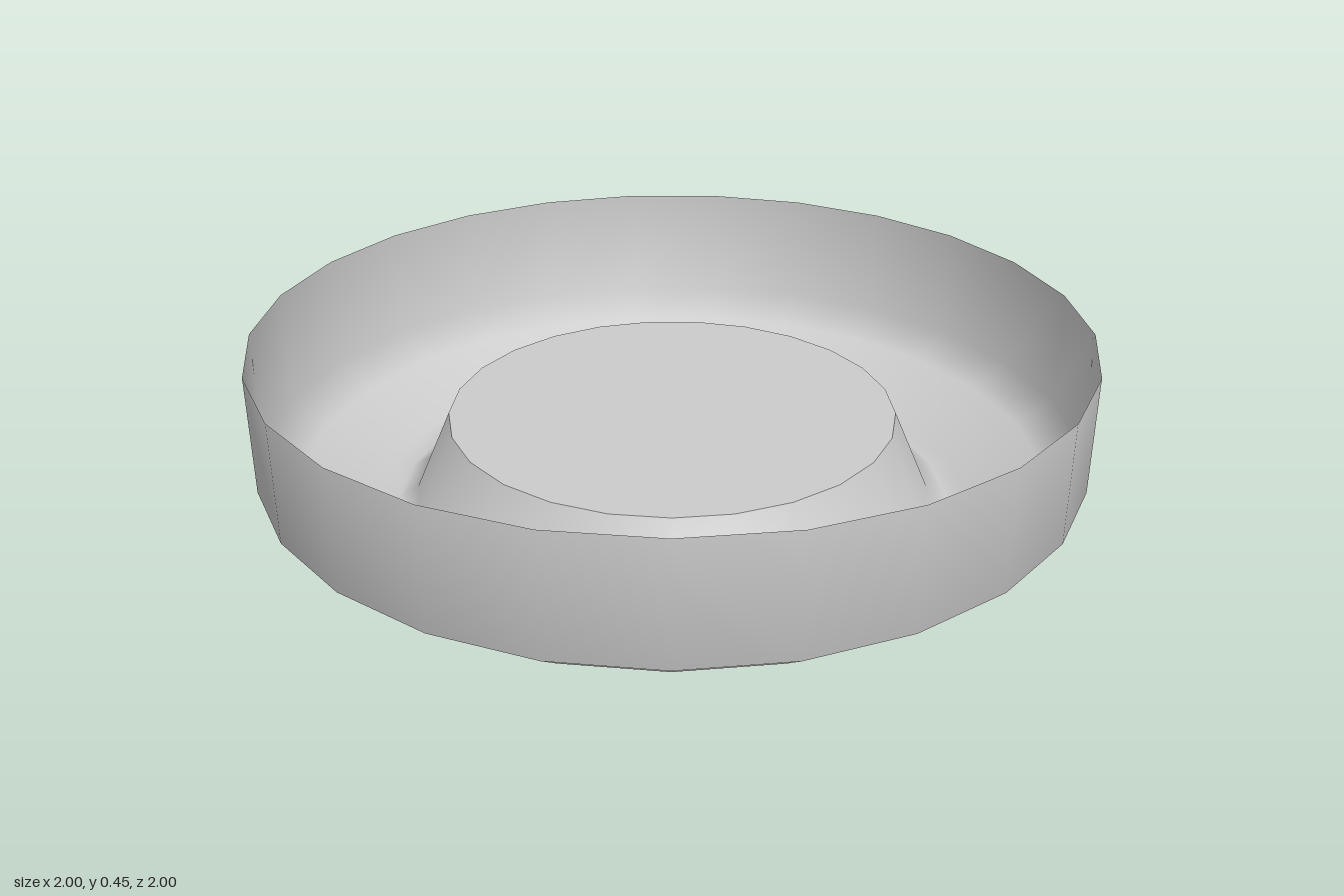
import * as THREE from 'three';

const SIDES = 25;

export function createModel() {
  const model = new THREE.Group();
  const material = new THREE.MeshStandardMaterial({ color: 0xcccccc, side: THREE.DoubleSide });

  // Thin dish wall: up-turned centre, rounded underside, upright rim
  const profile = [
    [0.547, 0.23], [0.635, 0.03], [0.685, 0], [0.73, 0.015],
    [0.915, 0.095], [1.002, 0.16], [1.002, 0.45],
  ].map(([r, y]) => new THREE.Vector2(r, y));
  const dish = new THREE.Mesh(new THREE.LatheGeometry(profile, SIDES, Math.PI / 2), material);
  dish.name = 'dish';

  // Flat raised platform closing the centre
  const disc = new THREE.CircleGeometry(profile[0].x, SIDES).rotateX(-Math.PI / 2);
  const platform = new THREE.Mesh(disc, material);
  platform.name = 'raisedPlatform';
  platform.position.y = profile[0].y;

  // An odd number of sides sits slightly off centre in x
  dish.position.x = platform.position.x = -0.004;

  model.add(dish, platform);
  return model;
}
